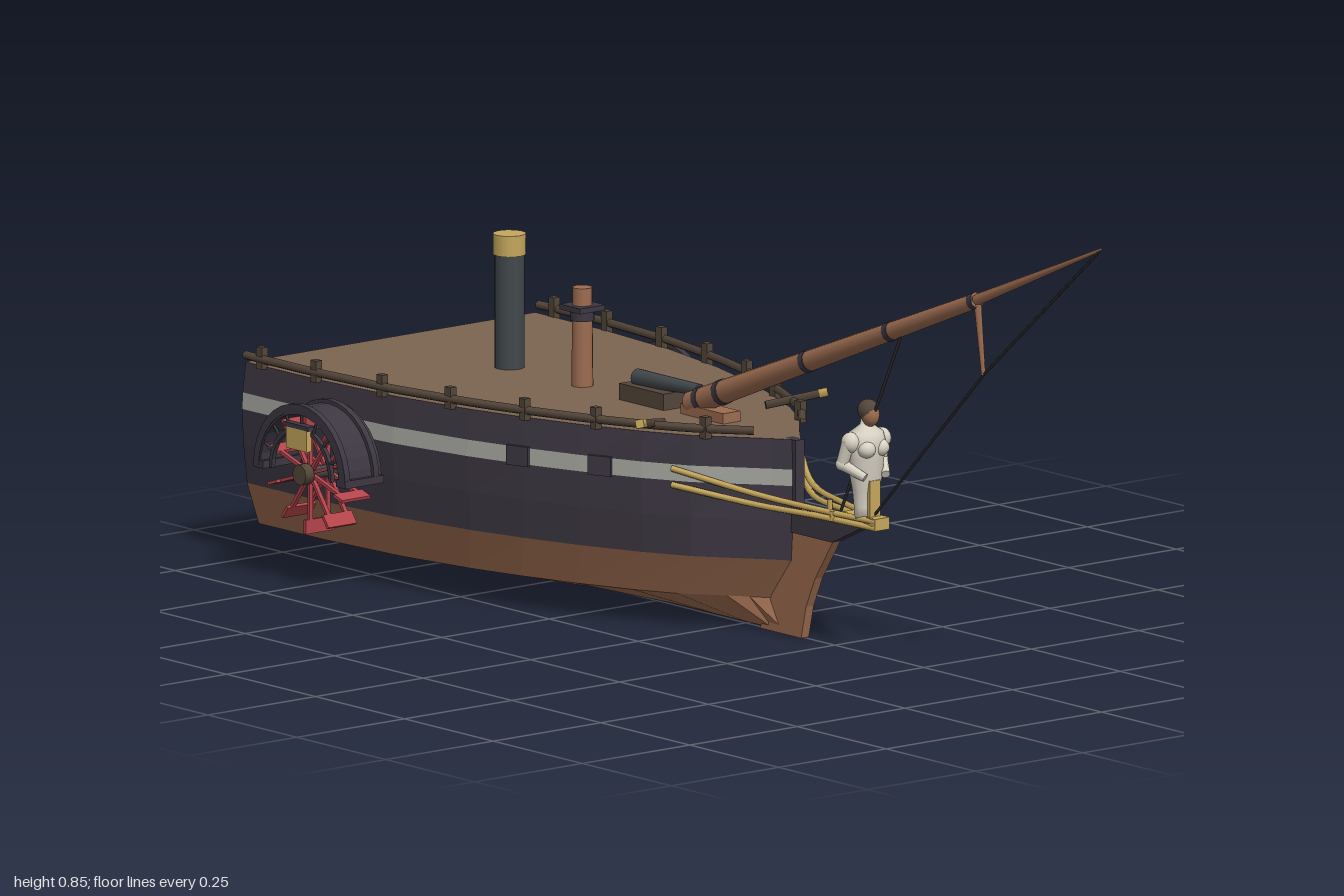
import * as THREE from 'three';

const mat = (name, color) => Object.assign(new THREE.MeshStandardMaterial({ color }), { name });
const V = (x, y, z) => new THREE.Vector3(x, y, z);

// Deck half width along the hull: t = 0 at the bow, 1 at the transom
const PLAN = [[0, .008], [.03, .034], [.06, .062], [.127, .125], [.2, .17], [.3, .218], [.4, .257], [.5, .288], [.65, .32], [.83, .336], [1, .338]];
function halfWidth(t) {
  for (let i = 1; i < PLAN.length; i++) {
    const [t0, w0] = PLAN[i - 1], [t1, w1] = PLAN[i];
    if (t <= t1) return w0 + (w1 - w0) * (t - t0) / (t1 - t0);
  }
  return .338;
}
const BOW = .145;
const widthAt = z => halfWidth((BOW - z) / (BOW + 1));

// Hull levels: height, bow position, width factor
const LEVELS = [
  [.004, .15, 0], [.06, .08, .905], [.138, .14, .985], [.21, .145, 1.01],
  [.275, .145, 1.02], [.305, .145, 1.015], [.36, .145, .995],
];
const hullPoint = (level, i, side) => {
  const [y, bow, f] = LEVELS[level], t = PLAN[i][0];
  return V(side * Math.max(.004, f * PLAN[i][1]), y, bow - t * (bow + 1));
};

function quadsGeometry(quads) {
  const p = [];
  for (const [a, b, c, d] of quads) for (const v of [a, b, c, a, c, d]) p.push(v.x, v.y, v.z);
  const g = new THREE.BufferGeometry();
  g.setAttribute('position', new THREE.Float32BufferAttribute(p, 3));
  g.computeVertexNormals();
  return g;
}

export function createModel() {
  const root = new THREE.Group();
  root.name = 'paddleShip';
  const M = {
    hull: mat('darkHull', 0x3d3742), copper: mat('copperWood', 0x9d6c50), deck: mat('deckWood', 0x7b6551),
    trim: mat('darkTrim', 0x54463a), stripe: mat('greyStripe', 0xa6a6a0), white: mat('figureWhite', 0xd8d2c4),
    gold: mat('gold', 0xc6a75c), red: mat('paddleRed', 0xb5444b), iron: mat('iron', 0x42484b), rope: mat('rope', 0x2c2a2c),
  };
  const add = (name, geo, m, pos = [0, 0, 0], parent = root) => {
    const mesh = new THREE.Mesh(geo, m);
    mesh.name = name;
    mesh.position.set(...pos);
    parent.add(mesh);
    return mesh;
  };
  const box = (name, size, m, pos, parent) => add(name, new THREE.BoxGeometry(...size), m, pos, parent);
  const ball = (name, r, m, pos, parent) => {
    const s = add(name, new THREE.SphereGeometry(1, 16, 12), m, pos, parent);
    s.scale.set(...r);
    return s;
  };
  // Tapered round bar from a to b
  const bar = (name, a, b, r0, r1, m, parent, sides = 10) => {
    const mesh = add(name, new THREE.CylinderGeometry(r1, r0, a.distanceTo(b), sides), m, [0, 0, 0], parent);
    mesh.position.copy(a).add(b).multiplyScalar(.5);
    mesh.quaternion.setFromUnitVectors(V(0, 1, 0), b.clone().sub(a).normalize());
    return mesh;
  };

  // Hull planking, one mesh per coloured band
  const N = PLAN.length - 1;
  const strake = (name, l0, l1, m) => {
    const quads = [];
    for (let l = l0; l < l1; l++) for (let i = 0; i < N; i++) {
      const a = s => [hullPoint(l, i, s), hullPoint(l, i + 1, s), hullPoint(l + 1, i + 1, s), hullPoint(l + 1, i, s)];
      quads.push(a(1), a(-1).reverse());
    }
    for (let l = l0; l < l1; l++) // bow closure
      quads.push([hullPoint(l, 0, -1), hullPoint(l, 0, 1), hullPoint(l + 1, 0, 1), hullPoint(l + 1, 0, -1)]);
    add(name, quadsGeometry(quads), m);
  };
  strake('lowerHull', 0, 2, M.copper);
  strake('hullSides', 2, 4, M.hull);
  strake('hullStripe', 4, 5, M.stripe);
  strake('upperHull', 5, 6, M.hull);

  // Deck, transom and keel strip
  const deck = [], transom = [], keel = [];
  for (let i = 0; i < N; i++) {
    deck.push([hullPoint(6, i, -1), hullPoint(6, i, 1), hullPoint(6, i + 1, 1), hullPoint(6, i + 1, -1)]);
    keel.push([hullPoint(0, i, 1), hullPoint(0, i, -1), hullPoint(0, i + 1, -1), hullPoint(0, i + 1, 1)]);
  }
  for (let l = 0; l < 6; l++)
    transom.push([hullPoint(l, N, 1), hullPoint(l, N, -1), hullPoint(l + 1, N, -1), hullPoint(l + 1, N, 1)]);
  add('deck', quadsGeometry(deck), M.deck);
  add('transom', quadsGeometry(transom), M.deck);
  add('keel', quadsGeometry(keel), M.copper);

  // Stem and beakhead, flat plates in the z-y plane
  const plate = (name, pts, width, m) => {
    const g = new THREE.ExtrudeGeometry(new THREE.Shape(pts.map(p => new THREE.Vector2(...p))), { depth: width, bevelEnabled: false });
    g.rotateY(-Math.PI / 2).translate(width / 2, 0, 0);
    return add(name, g, m);
  };
  plate('stem', [[.05, 0], [.166, 0], [.18, .06], [.205, .115], [.255, .19], [.13, .19], [.1, .1]], .018, M.copper);
  plate('beakhead', [[.13, .19], [.255, .19], [.335, .228], [.335, .24], [.13, .24]], .022, M.hull);
  plate('stemPost', [[.12, .23], [.152, .23], [.152, .36], [.12, .36]], .02, M.hull);

  // Features mirrored on both sides
  for (const s of [1, -1]) {
    const rail = [];
    for (let z = .09; z > -1; z -= .07) rail.push(V(s * (widthAt(z) + .004), .374, z));
    rail.push(V(s * .34, .374, -.995));
    add('rail', new THREE.TubeGeometry(new THREE.CatmullRomCurve3(rail), 40, .008, 6), M.trim);
    for (const z of [.02, -.17, -.31, -.47, -.63, -.8, -.95])
      box('railPost', [.014, .04, .016], M.trim, [s * (widthAt(z) + .002), .376, z]);

    for (const z of [-.16, -.32]) {
      const port = box('gunPort', [.012, .036, .046], M.hull, [s * widthAt(z) * 1.018, .29, z]);
      port.rotation.y = s * -Math.atan2(widthAt(z + .03) - widthAt(z - .03), -.06) + s * Math.PI;
      port.rotation.y = s * Math.atan2(widthAt(z + .03) - widthAt(z - .03), .06);
    }

    // Anchor beam with gilded end
    bar('anchorBeam', V(s * .12, .368, -.09), V(s * .205, .385, -.043), .01, .01, M.trim, root, 4);
    bar('anchorBeamTip', V(s * .205, .385, -.043), V(s * .218, .388, -.035), .011, .011, M.gold, root, 4);

    // Gilded head rails sweeping back from the figurehead
    for (const [y0, y1, y2] of [[.248, .262, .298], [.236, .243, .268]]) {
      const path = new THREE.CatmullRomCurve3([V(s * .012, y0, .38), V(s * .035, y0 + .004, .24), V(s * .066, y1, .11), V(s * .148, y2, -.03)]);
      add('headRail', new THREE.TubeGeometry(path, 16, .006, 6), M.gold);
    }
    for (const z of [.2, .28]) bar('railBracket', V(s * .03, .236, z), V(s * .03, .255, z), .005, .005, M.gold, root, 6);

    // Paddle wheel and its housing
    const wheel = new THREE.Group();
    wheel.name = 'paddleWheel';
    wheel.position.set(s * .383, .208, -.737);
    root.add(wheel);
    const arch = (name, r1, r0, depth, x) => {
      const shape = new THREE.Shape();
      shape.absarc(0, 0, r1, 0, Math.PI, false);
      shape.absarc(0, 0, r0, Math.PI, 0, true);
      const g = new THREE.ExtrudeGeometry(shape, { depth, bevelEnabled: false, curveSegments: 8 });
      g.rotateY(Math.PI / 2).translate(-depth / 2 + x, 0, 0);
      add(name, g, M.hull, [0, 0, 0], wheel);
    };
    arch('wheelCover', .122, .11, .09, 0);
    arch('coverRim', .129, .114, .012, s * .04);
    arch('coverRim', .129, .114, .012, s * -.028);
    arch('innerRim', .088, .08, .008, s * .04);
    for (let i = 1; i < 8; i++) {
      const a = Math.PI * i / 8;
      bar('coverStrut', V(s * .04, .082 * Math.sin(a), .082 * Math.cos(a)), V(s * .04, .118 * Math.sin(a), .118 * Math.cos(a)), .003, .003, M.hull, wheel, 5);
    }
    box('coverPanel', [.012, .04, .058], M.gold, [s * .047, .067, 0], wheel);
    box('coverPanelLintel', [.016, .008, .07], M.hull, [s * .046, .09, 0], wheel);
    for (const e of [1, -1]) box('coverFoot', [.09, .014, .026], M.hull, [0, .002, e * .116], wheel);
    bar('axle', V(s * -.06, 0, 0), V(s * .042, 0, 0), .011, .011, M.iron, wheel);
    bar('hub', V(s * .026, 0, 0), V(s * .046, 0, 0), .019, .019, M.trim, wheel);
    for (let i = 0; i < 10; i++) {
      const arm = new THREE.Group();
      arm.name = 'paddleArm';
      arm.rotation.x = Math.PI * 2 * i / 10;
      wheel.add(arm);
      for (const x of [-.02, .02]) box('spoke', [.008, .1, .006], M.red, [x, .055, 0], arm);
      box('paddle', [.066, .026, .006], M.red, [0, .097, 0], arm);
    }
  }

  // Funnel with gilded crown
  bar('funnel', V(0, .355, -.665), V(0, .57, -.665), .027, .027, M.iron, root, 16);
  bar('funnelCrown', V(0, .567, -.665), V(0, .605, -.665), .03, .03, M.gold, root, 12);

  // Mast stump
  bar('mastStump', V(0, .355, -.46), V(0, .54, -.46), .02, .018, M.copper, root, 12);
  box('mastPlatform', [.058, .01, .058], M.hull, [0, .503, -.46]);
  bar('mastBand', V(0, .48, -.46), V(0, .498, -.46), .022, .022, M.hull, root, 12);

  // Deck gun on its bed
  box('gunBed', [.056, .032, .125], M.trim, [0, .374, -.26]);
  bar('gunBarrel', V(0, .4, -.305), V(0, .405, -.13), .016, .011, M.iron, root, 12);

  // Bowsprit in two spars with bands
  const heel = V(0, .378, -.15), cap = V(0, .697, .65), tip = V(0, .846, .998);
  const along = t => heel.clone().lerp(cap, t);
  bar('bowsprit', heel, cap, .023, .014, M.copper, root, 12);
  bar('jibBoom', V(0, .685, .62), tip, .011, .003, M.copper, root, 8);
  for (const t of [.03, .1, .4, .69, .985]) bar('sparBand', along(t), along(t + .015), .0245 - t * .009, .0245 - t * .009, M.hull, root, 12);
  box('bowspritBed', [.04, .022, .12], M.copper, [0, .368, -.1]);

  // Martingale and stays
  const striker = V(0, .563, .668);
  bar('martingale', V(0, .69, .652), striker, .007, .004, M.copper, root, 6);
  bar('outerStay', tip, striker, .0028, .0028, M.rope, root, 5);
  bar('lowerStay', striker, V(0, .24, .345), .0028, .0028, M.rope, root, 5);
  bar('innerStay', V(0, .605, .44), V(0, .245, .265), .003, .003, M.rope, root, 5);

  // Figurehead
  const fig = new THREE.Group();
  fig.name = 'figurehead';
  fig.position.set(0, 0, .338);
  root.add(fig);
  const robe = [[.001, .245], [.024, .245], [.024, .27], [.027, .3], [.033, .33], [.036, .36], [.04, .385], [.034, .405], [.012, .42], [.01, .435]];
  const body = add('robe', new THREE.LatheGeometry(robe.map(p => new THREE.Vector2(...p)), 16), M.white, [0, 0, 0], fig);
  body.scale.z = .8;
  for (const s of [1, -1]) {
    ball('shoulder', [.017, .019, .018], M.white, [s * .036, .39, 0], fig);
    ball('chest', [.017, .016, .017], M.white, [s * .016, .378, .02], fig);
    bar('upperArm', V(s * .04, .392, 0), V(s * .046, .35, -.012), .013, .011, M.white, fig);
    ball('elbow', [.012, .012, .012], M.white, [s * .046, .35, -.012], fig);
    bar('forearm', V(s * .046, .35, -.012), V(s * .024, .328, .026), .011, .008, M.white, fig);
  }
  ball('head', [.016, .021, .018], M.copper, [0, .438, .012], fig);
  ball('hair', [.019, .02, .021], M.trim, [0, .446, .006], fig);
  box('figureBase', [.034, .022, .09], M.gold, [0, .243, 0], fig);
  box('gildedPanel', [.024, .07, .008], M.gold, [0, .285, .022], fig);
  return root;
}
